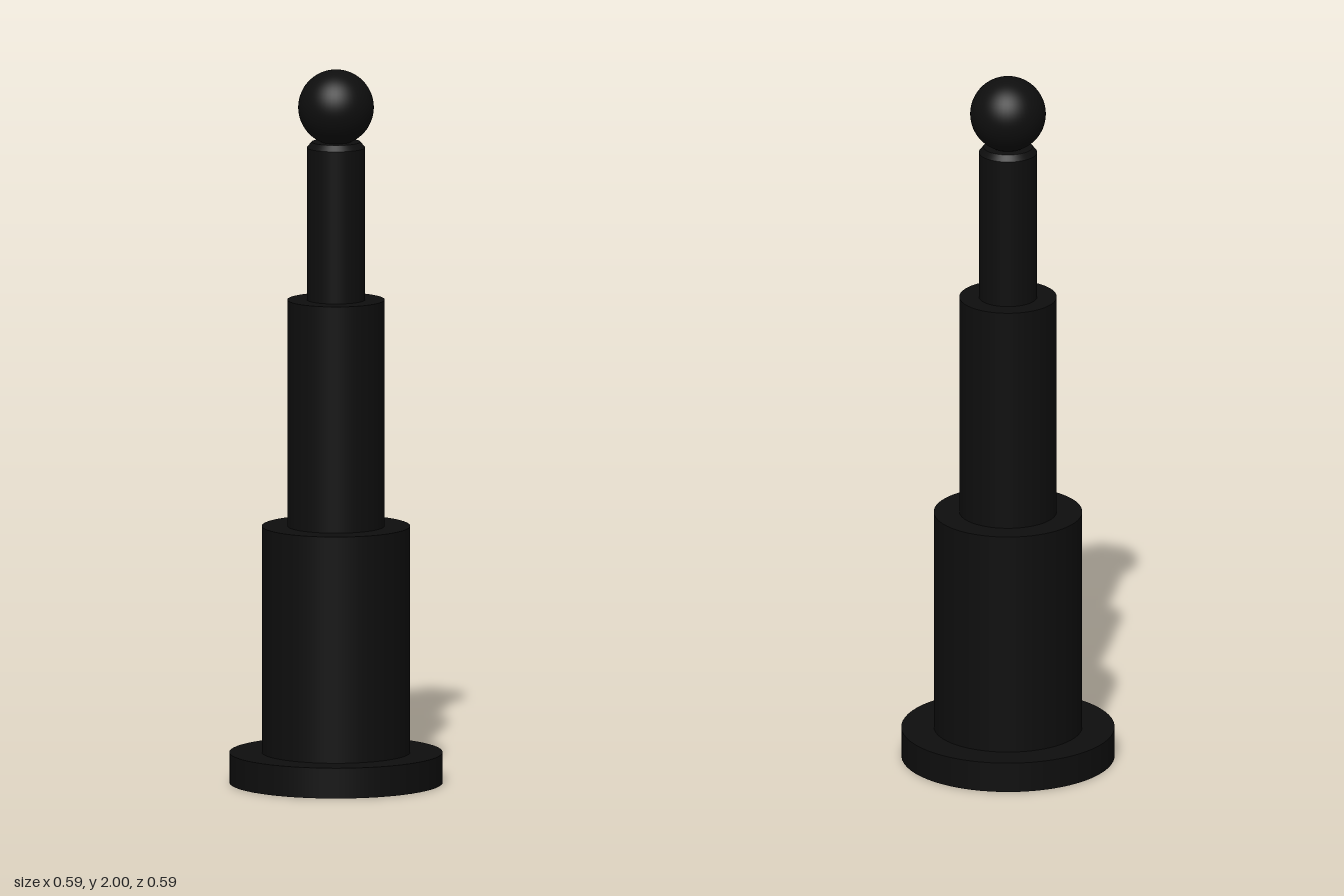
import * as THREE from 'three';

const SIDES = 64;

export function createModel() {
  const model = new THREE.Group();
  model.name = 'telescopicMast';
  const black = new THREE.MeshStandardMaterial({ color: 0x0e0e0e });

  const add = (name, geometry, y) => {
    const mesh = new THREE.Mesh(geometry, black);
    mesh.name = name;
    mesh.position.y = y;
    model.add(mesh);
  };

  // Stacked cylinders: name, bottom radius, top radius, bottom height, top height
  const sections = [
    ['baseFlange', 0.296, 0.296, 0, 0.085],
    ['lowerTube', 0.206, 0.206, 0.085, 0.72],
    ['middleTube', 0.135, 0.135, 0.72, 1.355],
    ['upperTube', 0.081, 0.081, 1.355, 1.782],
    ['upperTubeBevel', 0.081, 0.068, 1.782, 1.798],
  ];
  for (const [name, bottomRadius, topRadius, y0, y1] of sections) {
    add(name, new THREE.CylinderGeometry(topRadius, bottomRadius, y1 - y0, SIDES), (y0 + y1) / 2);
  }

  // Ball resting on the top tube
  add('ballTip', new THREE.SphereGeometry(0.105, 48, 32), 1.895);

  return model;
}
